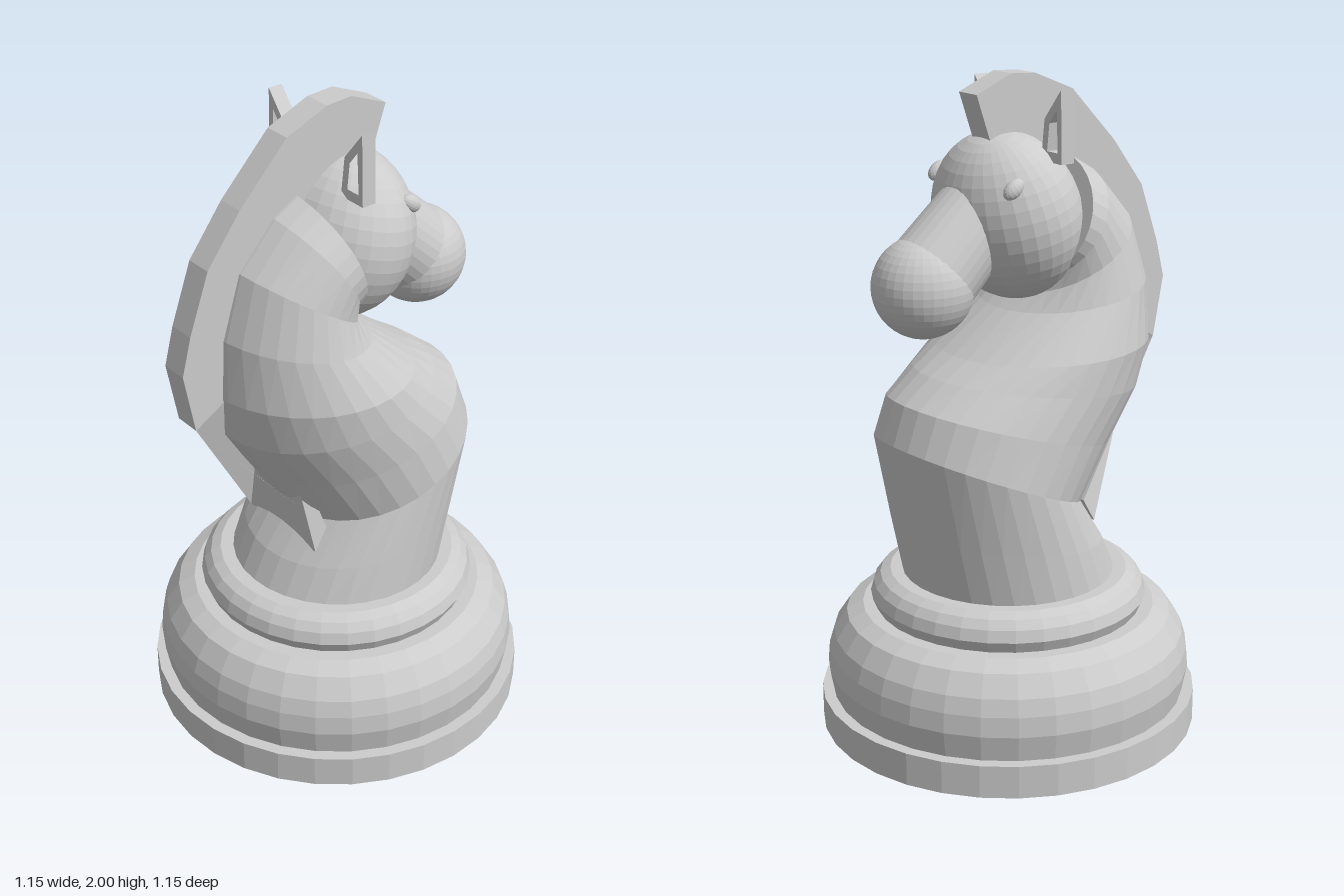
import * as THREE from 'three';

const SEG = 32;

// Faceted copy of a geometry
function facet(geo) {
  const g = geo.index ? geo.toNonIndexed() : geo;
  g.computeVertexNormals();
  return g;
}

// Skin a list of closed rings and cap both ends
function loft(rings) {
  const n = rings[0].length, pos = [], idx = [];
  rings.forEach(r => r.forEach(p => pos.push(p.x, p.y, p.z)));
  for (let i = 0; i < rings.length - 1; i++) {
    for (let j = 0; j < n; j++) {
      const k = (j + 1) % n, a = i * n + j, b = i * n + k;
      idx.push(a, a + n, b, b, a + n, b + n);
    }
  }
  const e = (rings.length - 1) * n;
  for (let j = 1; j < n - 1; j++) idx.push(0, j, j + 1, e, e + j + 1, e + j);
  const g = new THREE.BufferGeometry();
  g.setAttribute('position', new THREE.Float32BufferAttribute(pos, 3));
  g.setIndex(idx);
  return facet(g);
}

export function createModel() {
  const group = new THREE.Group();
  const stone = new THREE.MeshStandardMaterial({ color: 0xcccccc });
  stone.name = 'light grey';

  const add = (name, geo) => {
    const mesh = new THREE.Mesh(geo, stone);
    mesh.name = name;
    group.add(mesh);
    return mesh;
  };
  const lathe = (name, pts) => add(name,
    facet(new THREE.LatheGeometry(pts.map(p => new THREE.Vector2(p[0], p[1])), SEG)));

  // Turned base
  lathe('foot', [[0, 0], [0.45, 0], [0.48, 0.02], [0, 0.02]]);
  lathe('baseDisc', [[0, 0.02], [0.575, 0.02], [0.575, 0.12], [0, 0.12]]);
  lathe('baseBulge', [[0, 0.12], [0.54, 0.12], [0.555, 0.2], [0.55, 0.26], [0.535, 0.31],
    [0.495, 0.37], [0.445, 0.395], [0, 0.395]]);
  lathe('collar', [[0, 0.39], [0.405, 0.395], [0.42, 0.43], [0.41, 0.465], [0.39, 0.49],
    [0.36, 0.505], [0, 0.505]]);

  // Neck sections: back x, y, throat x, y, half width
  const sections = [
    [-0.32, 0.5, 0.32, 0.5, 0.325],
    [-0.27, 0.6, 0.36, 0.69, 0.325],
    [-0.18, 0.72, 0.41, 0.965, 0.325],
    [-0.29, 0.89, 0.37, 1.08, 0.325],
    [-0.4, 1.06, 0.28, 1.15, 0.325],
    [-0.44, 1.215, 0.2, 1.2, 0.325],
    [-0.43, 1.4, 0.04, 1.32, 0.278],
    [-0.37, 1.59, -0.01, 1.365, 0.25],
    [-0.25, 1.72, -0.035, 1.395, 0.25],
    [-0.17, 1.765, -0.03, 1.4, 0.25],
  ];
  add('neck', loft(sections.map(([bx, by, tx, ty, w]) =>
    Array.from({ length: SEG }, (_, j) => {
      const a = j / SEG * Math.PI * 2, c = (1 + Math.cos(a)) / 2;
      return new THREE.Vector3(bx + (tx - bx) * c, by + (ty - by) * c, w * Math.sin(a));
    }))));

  // Head
  const head = add('head', facet(new THREE.SphereGeometry(1, SEG, 20)));
  head.scale.set(0.2, 0.25, 0.25);
  head.rotation.z = -0.25;
  head.position.set(0.003, 1.592, 0);

  // Snout runs from inside the head down to the nose ball
  const from = new THREE.Vector3(0.06, 1.645, 0), to = new THREE.Vector3(0.3, 1.42, 0);
  const snout = add('snout', facet(new THREE.CylinderGeometry(0.138, 0.125, from.distanceTo(to), SEG)));
  snout.position.copy(from).lerp(to, 0.5);
  snout.quaternion.setFromUnitVectors(new THREE.Vector3(0, 1, 0), to.clone().sub(from).normalize());
  add('nose', facet(new THREE.SphereGeometry(0.148, SEG, 20))).position.copy(to);

  // Eyes and ears, mirrored across z
  for (const s of [1, -1]) {
    const side = s > 0 ? 'right' : 'left';
    const eye = add(side + 'Eye', facet(new THREE.SphereGeometry(1, 16, 10)));
    eye.scale.set(0.037, 0.024, 0.022);
    eye.rotation.z = -0.65;
    eye.position.set(0.117, 1.705, s * 0.182);

    const pts = list => list.map(([z, y]) => new THREE.Vector2(-s * z, y));
    const outline = new THREE.Shape(pts([[0.208, 1.76], [0.203, 1.968], [0.13, 1.88], [0.115, 1.76]]));
    outline.holes.push(new THREE.Path(pts([[0.19, 1.79], [0.184, 1.91], [0.152, 1.87], [0.142, 1.79]])));
    const ear = new THREE.ExtrudeGeometry(outline, { depth: 0.045, bevelEnabled: false });
    ear.rotateY(Math.PI / 2).translate(-0.075, 0, 0);
    add(side + 'Ear', facet(ear));
  }

  // Mane: a strap along the crest, twisting flat at its lower end
  const crest = [[0.14, 1.95], [0.02, 2], [-0.065, 1.995], [-0.2, 1.94], [-0.36, 1.775],
    [-0.47, 1.63], [-0.535, 1.45], [-0.565, 1.335], [-0.53, 1.15]];
  const centre = new THREE.Vector2(-0.04, 1.43);
  const slab = (c, n, depth, roll) => {
    const cs = Math.cos(roll), sn = Math.sin(roll), half = 0.042;
    return [[1, -1], [1, 1], [-1, 1], [-1, -1]].map(([o, w]) => {
      const along = o * depth * cs + w * half * sn;
      const across = w * half * cs - o * depth * sn;
      return new THREE.Vector3(c.x + n.x * along, c.y + n.y * along, across);
    });
  };
  const rings = crest.map(([x, y]) => {
    const p = new THREE.Vector2(x, y);
    const n = p.clone().sub(centre).normalize();
    return slab(p.clone().addScaledVector(n, -0.14), n, 0.14, 0);
  });
  rings.push(slab(new THREE.Vector2(-0.185, 0.685), new THREE.Vector2(-0.5, -0.866), 0.16, Math.PI / 2));
  add('mane', loft(rings));

  return group;
}
